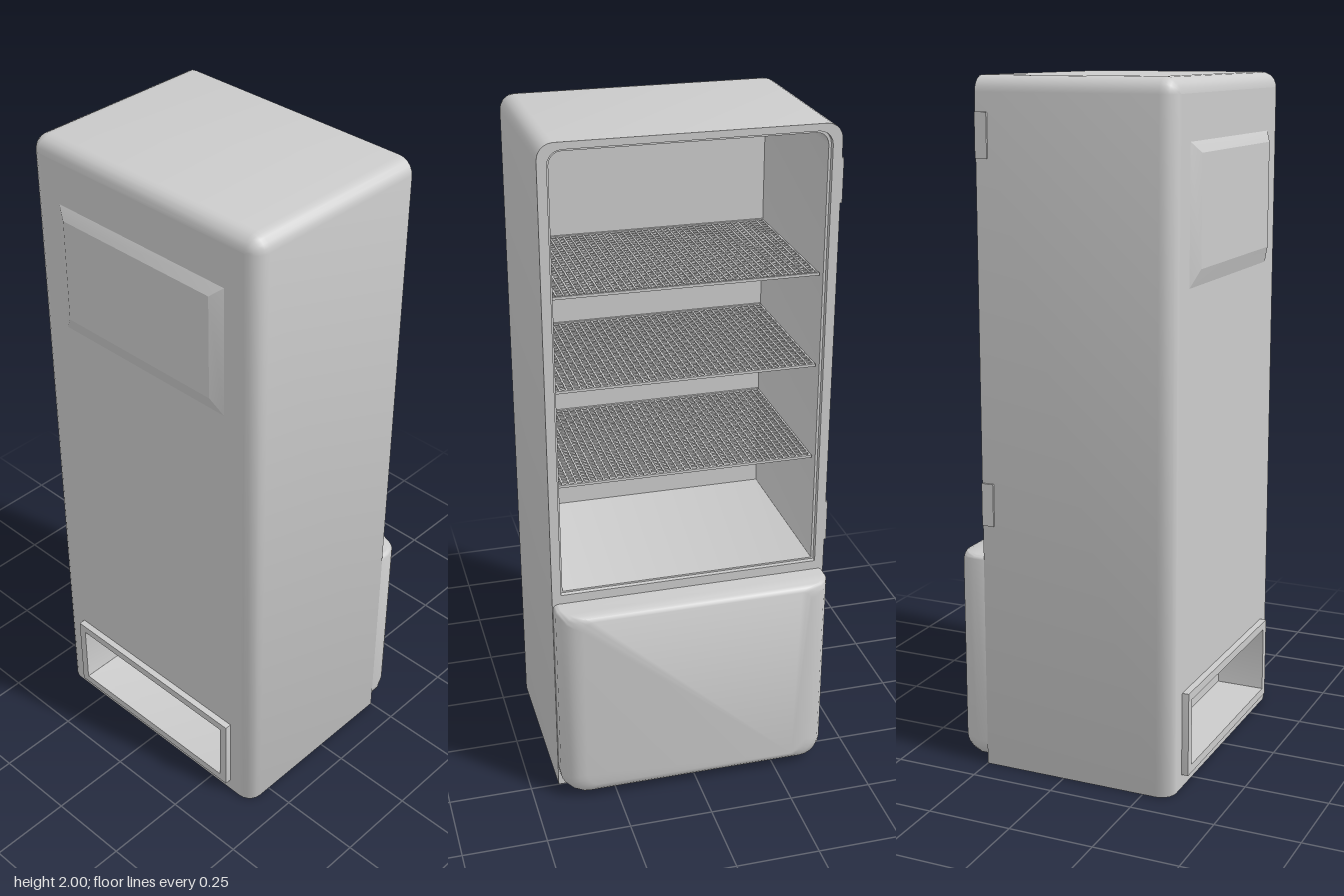
import * as THREE from 'three';
import { toCreasedNormals } from 'three/addons/utils/BufferGeometryUtils.js';

const material = new THREE.MeshStandardMaterial({ color: 0xcccccc });
const SEG = 5;

// Rounded rectangle outline, counter-clockwise, with separate bottom and top radii
function outline(half, y0, y1, rBottom, rTop) {
  const pts = [];
  const corner = (cx, cy, r, start) => {
    for (let i = 0; i <= SEG; i++) {
      const a = start + (i / SEG) * Math.PI / 2;
      pts.push(new THREE.Vector2(cx + r * Math.cos(a), cy + r * Math.sin(a)));
    }
  };
  corner(half - rBottom, y0 + rBottom, rBottom, -Math.PI / 2);
  corner(half - rTop, y1 - rTop, rTop, 0);
  corner(-half + rTop, y1 - rTop, rTop, Math.PI / 2);
  corner(-half + rBottom, y0 + rBottom, rBottom, Math.PI);
  return pts;
}

// Skin a list of [x, half, y0, y1, rBottom, rTop] sections and cap the last one
function loft(sections, crease = 0.7) {
  const positions = [], index = [];
  let n = 0;
  for (const [x, ...rest] of sections) {
    const ring = outline(...rest);
    n = ring.length;
    for (const p of ring) positions.push(x, p.y, -p.x);
  }
  for (let i = 0; i < sections.length - 1; i++) {
    for (let j = 0; j < n; j++) {
      const a = i * n + j, b = i * n + (j + 1) % n;
      index.push(a, b, b + n, a, b + n, a + n);
    }
  }
  const last = (sections.length - 1) * n;
  for (let j = 1; j < n - 1; j++) index.push(last, last + j, last + j + 1);
  const geometry = new THREE.BufferGeometry();
  geometry.setAttribute('position', new THREE.Float32BufferAttribute(positions, 3));
  geometry.setIndex(index);
  return toCreasedNormals(geometry, crease);
}

export function createModel() {
  const model = new THREE.Group();
  const add = (name, geometry, parent = model) => {
    const mesh = new THREE.Mesh(geometry, material);
    mesh.name = name;
    parent.add(mesh);
    return mesh;
  };
  const E = 0.0005; // stands in for a sharp corner

  // Cabinet: rounded back edge, outer walls, open rim, stepped lip and inner liner
  const R = 0.045, body = [];
  for (let i = 0; i <= SEG; i++) {
    const a = (i / SEG) * Math.PI / 2;
    const inset = R * (1 - Math.sin(a));
    body.push([-0.335 + R * (1 - Math.cos(a)), 0.415 - inset, 0, 2 - inset, E, Math.max(R - inset, E)]);
  }
  body.push(
    [0.25, 0.415, 0, 2, E, R],
    [0.25, 0.388, 0.668, 1.98, E, 0.04],
    [0.235, 0.388, 0.668, 1.98, E, 0.04],
    [0.235, 0.381, 0.673, 1.972, E, 0.035],
    [-0.3, 0.381, 0.673, 1.972, E, 0.035],
  );
  add('cabinet', loft(body));

  // Back wall with an opening for the vent
  const wall = new THREE.Shape(outline(0.415 - R, 0, 2 - R, E, E));
  wall.holes.push(new THREE.Path(outline(0.305, 0.065, 0.265, E, E)));
  const backWall = add('backWall', new THREE.ShapeGeometry(wall));
  backWall.rotation.y = -Math.PI / 2;
  backWall.position.x = -0.335;

  // Vent frame with its deep recess, turned to face the back
  add('backVent', loft([
    [0.335, 0.33, 0.04, 0.29, E, E],
    [0.355, 0.33, 0.04, 0.29, E, E],
    [0.355, 0.305, 0.065, 0.265, E, E],
    [0.205, 0.305, 0.065, 0.265, E, E],
  ], 0.3)).rotation.y = Math.PI;

  // Bevelled service panel high on the back
  add('backPanel', loft([
    [0.335, 0.305, 1.44, 1.83, E, E],
    [0.355, 0.27, 1.49, 1.8, E, E],
  ], 0.3)).rotation.y = Math.PI;

  // Lower drawer front, softly rounded at the sides and bottom
  add('drawerFront', loft([
    [0.248, 0.413, 0.008, 0.64, 0.06, 0.015],
    [0.285, 0.413, 0.008, 0.64, 0.06, 0.015],
    [0.312, 0.403, 0.013, 0.64, 0.06, 0.02],
    [0.331, 0.39, 0.022, 0.639, 0.055, 0.025],
    [0.343, 0.368, 0.035, 0.635, 0.05, 0.03],
    [0.35, 0.345, 0.05, 0.625, 0.045, 0.03],
  ]));

  // Hinge plates for the upper opening
  for (const y of [1.84, 0.8]) {
    add('hingePlate', new THREE.BoxGeometry(0.036, 0.125, 0.012)).position.set(0.231, y, -0.415);
  }

  // Wire shelves: fine grid inside a thin border
  const x0 = -0.298, x1 = 0.212, half = 0.379, pitch = 0.02, wire = 0.005;
  const midX = (x0 + x1) / 2, depth = x1 - x0;
  const along = new THREE.BoxGeometry(depth, wire, wire);
  const across = new THREE.BoxGeometry(wire, wire, half * 2);
  const edge = new THREE.BoxGeometry(0.008, 0.008, half * 2);
  for (const y of [1.565, 1.29, 1.0]) {
    const shelf = new THREE.Group();
    shelf.name = 'wireShelf';
    shelf.position.y = y;
    model.add(shelf);
    for (let z = -half + wire / 2; z < half; z += pitch) {
      add('depthWire', along, shelf).position.set(midX, 0, z);
    }
    for (let x = x0 + pitch; x < x1 - 0.01; x += pitch) {
      add('crossWire', across, shelf).position.set(x, 0, 0);
    }
    for (const x of [x0 + 0.004, x1 - 0.004]) {
      add('shelfEdge', edge, shelf).position.set(x, 0, 0);
    }
  }
  return model;
}
